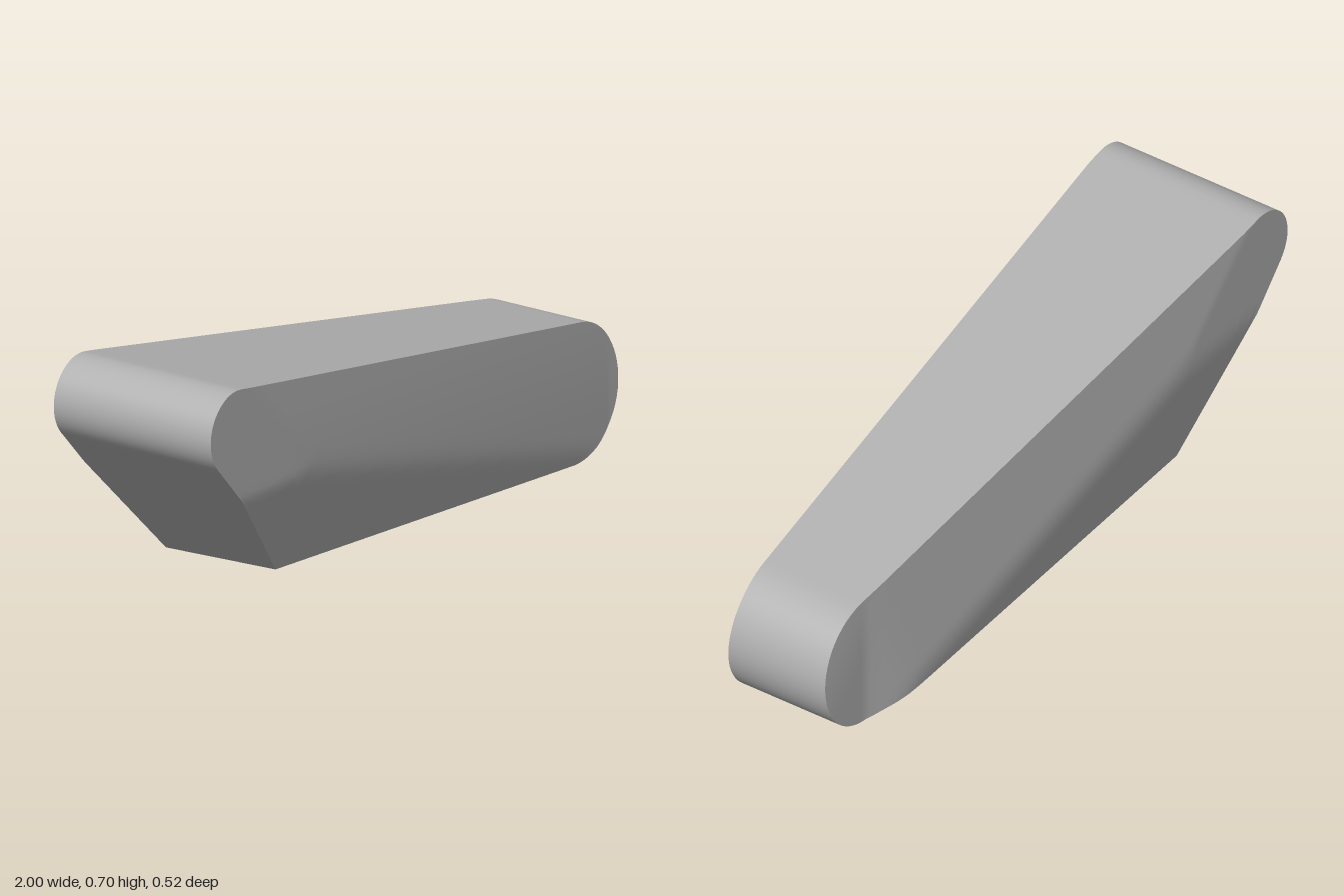
import * as THREE from 'three';
import { toCreasedNormals } from 'three/addons/utils/BufferGeometryUtils.js';

const ROWS = 20;
// small nose circle and large round end of the side profile
const nose = { x: -0.88, y: 0.585, r: 0.12 };
const heel = { x: 0.795, y: 0.2, r: 0.2 };
const slopeTop = [-0.968, 0.503], topA = [-0.858, 0.703], topB = [0.83, 0.397];
// lower corner where the slope meets the underside, one per side
const corners = { front: [-0.6, 0.1], back: [-0.56, 0.07] };

const lerpY = (a, b, x) => a[1] + (b[1] - a[1]) * (x - a[0]) / (b[0] - a[0]);
const arc = (c, x, s) => c.y + s * Math.sqrt(Math.max(0, c.r ** 2 - (x - c.x) ** 2));

const topY = x => x < topA[0] ? arc(nose, x, 1) : x < topB[0] ? lerpY(topA, topB, x) : arc(heel, x, 1);
function bottomY(x, corner) {
  if (x < slopeTop[0]) return arc(nose, x, -1);
  if (x < corner[0]) return lerpY(slopeTop, corner, x);
  if (x < heel.x) return lerpY(corner, [heel.x, 0], x);
  return arc(heel, x, -1);
}

// soft minimum blends the side planes into each other
function softMin(a, b, k = 0.012) {
  const h = Math.max(k - Math.abs(a - b), 0) / k;
  return Math.min(a, b) - h * h * k * 0.25;
}

// half width of the body at a point of the side profile
function halfWidth(x, y, side) {
  const upper = 0.262 - 0.076 * (x + 0.82) - 0.08 * (y - 0.7);
  const lower = side === 'front'
    ? 0.185 + 0.006 * (x + 0.58) + 0.281 * (y - 0.1)
    : 0.21 + 0.163 * (y - 0.07);
  const cap = side === 'front'
    ? 0.162 + 0.068 * Math.max(0, 0.95 - x)
    : 0.164 + 0.26 * Math.max(0, 0.81 - x);
  return Math.min(0.262, softMin(softMin(upper, lower), cap));
}

// x stations, closer together round both ends
function stations(corner) {
  const xs = [];
  for (let i = 0; i < 6; i++) xs.push(-1 + 0.032 * (i / 6) ** 2);
  for (let i = 0; i < 8; i++) xs.push(slopeTop[0] + (topA[0] - slopeTop[0]) * i / 8);
  for (let i = 0; i < 10; i++) xs.push(topA[0] + (corner[0] - topA[0]) * i / 10);
  for (let i = 0; i < 30; i++) xs.push(corner[0] + (heel.x - corner[0]) * i / 30);
  for (let i = 0; i <= 16; i++) xs.push(heel.x + heel.r * Math.sin(i / 16 * Math.PI / 2));
  return xs;
}

function bodyGeometry() {
  const pos = [], index = [];
  const count = stations(corners.front).length, stride = ROWS + 1;
  for (const side of ['front', 'back']) {
    const sign = side === 'front' ? 1 : -1;
    for (const x of stations(corners[side])) {
      const lo = bottomY(x, corners[side]), hi = topY(x);
      for (let j = 0; j <= ROWS; j++) {
        const y = lo + (hi - lo) * j / ROWS;
        pos.push(x, y, sign * halfWidth(x, y, side));
      }
    }
  }
  const quad = (a, b, c, d) => index.push(a, b, c, a, c, d);
  const back = count * stride;
  for (let i = 0; i < count - 1; i++) {
    const p = i * stride, q = p + stride;
    for (let j = 0; j < ROWS; j++) {
      quad(p + j, q + j, q + j + 1, p + j + 1);
      quad(back + q + j, back + p + j, back + p + j + 1, back + q + j + 1);
    }
    // rim: top run and underside run joining the two sides
    quad(p + ROWS, q + ROWS, back + q + ROWS, back + p + ROWS);
    quad(q, p, back + p, back + q);
  }
  const g = new THREE.BufferGeometry();
  g.setAttribute('position', new THREE.Float32BufferAttribute(pos, 3));
  g.setIndex(index);
  return toCreasedNormals(g, 0.6);
}

export function createModel() {
  const group = new THREE.Group();
  const grey = new THREE.MeshStandardMaterial({ color: 0xb0b0b0 });
  grey.name = 'grey';
  const body = new THREE.Mesh(bodyGeometry(), grey);
  body.name = 'taperedBody';
  group.add(body);
  return group;
}
